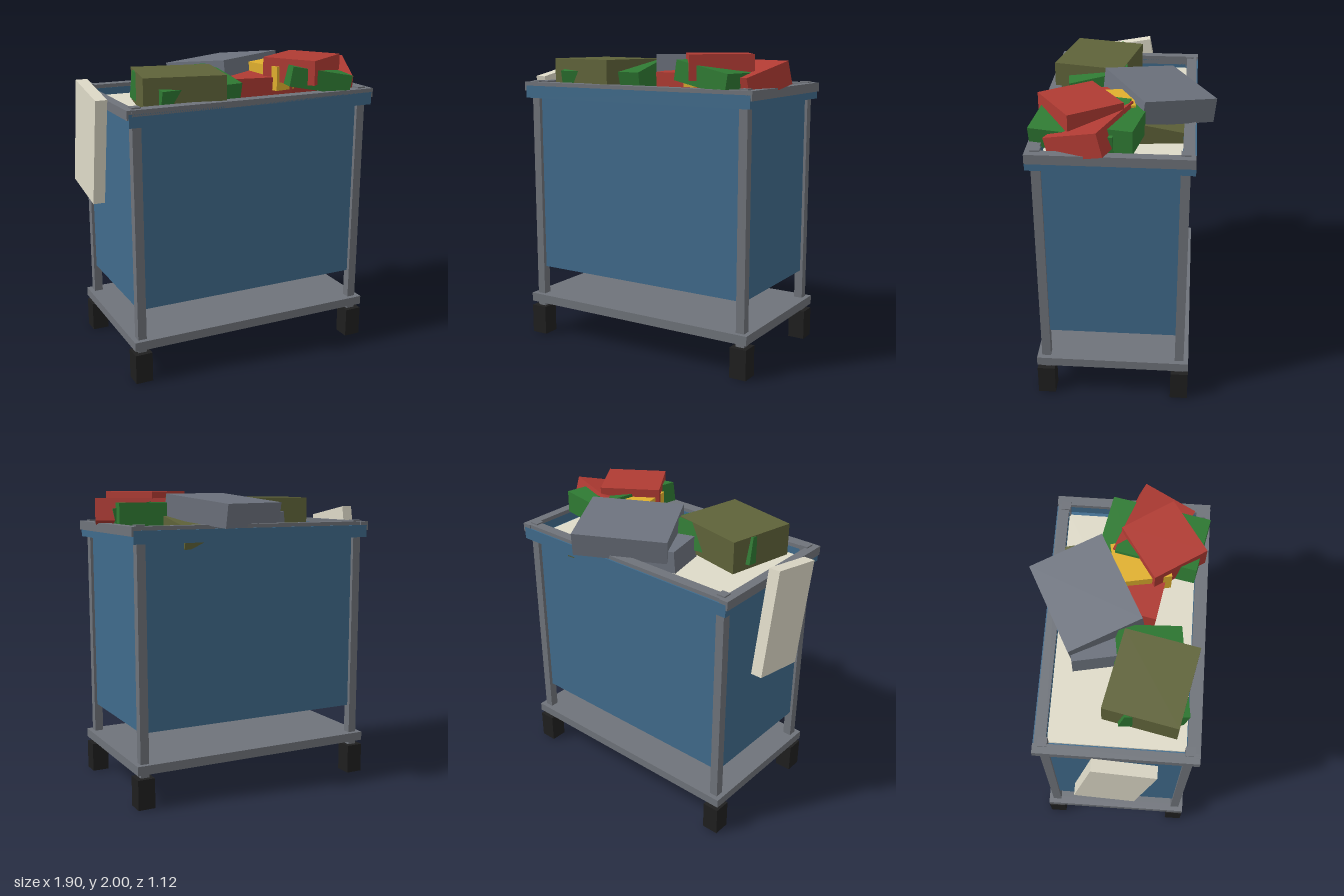
import * as THREE from 'three';

const mat = (name, color) => {
  const m = new THREE.MeshStandardMaterial({ color });
  m.name = name;
  return m;
};

export function createModel() {
  const steel = mat('frame steel', 0x6f737a);
  const blue = mat('bin blue', 0x406b8c);
  const black = mat('wheel black', 0x1f1f1f);
  const cream = mat('cream', 0xdedac8);
  const olive = mat('olive', 0x5f6339);
  const green = mat('green', 0x2f7a33);
  const red = mat('red', 0xb03b33);
  const yellow = mat('yellow', 0xe0b02e);
  const grey = mat('parcel grey', 0x6c727d);

  const model = new THREE.Group();
  const CX = 0.03, CZ = 0.06; // centre of the cart

  // Box by size and centre, turned about y, then x, then z
  const box = (parent, name, m, size, pos, rot = [0, 0, 0]) => {
    const mesh = new THREE.Mesh(new THREE.BoxGeometry(...size), m);
    mesh.name = name;
    mesh.position.set(...pos);
    mesh.rotation.set(rot[0], rot[1], rot[2], 'YXZ');
    parent.add(mesh);
    return mesh;
  };

  // Cart, built around its own centre
  const cart = new THREE.Group();
  cart.name = 'cart';
  cart.position.set(CX, 0, CZ);
  model.add(cart);

  box(cart, 'deck', steel, [1.62, 0.025, 0.9], [0, 0.2775, 0]);
  box(cart, 'bin', blue, [1.62, 1.22, 0.888], [0, 1.097, 0]);
  box(cart, 'contents', cream, [1.56, 0.02, 0.84], [0, 1.712, 0]);

  for (const s of [-1, 1]) {
    for (const sz of [-1, 1]) {
      box(cart, 'post', steel, [0.058, 1.604, 0.058], [s * 0.8, 1.002, sz * 0.44]);
      box(cart, 'wheel', black, [0.115, 0.2, 0.115], [s * 0.803, 0.1, sz * 0.443]);
    }
    // rails around the deck
    box(cart, 'deckSideRail', steel, [0.058, 0.06, 1.0], [s * 0.832, 0.26, 0]);
    box(cart, 'deckLongRail', steel, [1.606, 0.06, 0.058], [0, 0.26, s * 0.471]);
    // rim on the short sides
    box(cart, 'sideBand', blue, [0.05, 0.08, 0.998], [s * 0.835, 1.728, 0]);
    box(cart, 'sideRail', steel, [0.062, 0.06, 0.998], [s * 0.841, 1.765, 0]);
    // rim on the long sides
    box(cart, 'longBand', blue, [1.72, 0.083, 0.08], [0, 1.7285, s * 0.46]);
  }
  box(cart, 'frontRail', steel, [1.68, 0.04, 0.079], [0, 1.775, 0.4605]);
  box(cart, 'backRail', steel, [1.68, 0.04, 0.07], [0, 1.775, -0.456]);

  // Tilted board hanging beside the bin
  box(model, 'sideBoard', cream, [0.077, 0.7, 0.396], [-0.9125, 1.51, 0.055], [0.177, 0, 0]);

  // Heap of parcels: name, material, size, centre, rotation
  const heap = new THREE.Group();
  heap.name = 'parcels';
  model.add(heap);
  const parcels = [
    ['largeOliveParcel', olive, [0.524, 0.215, 0.472], [-0.379, 1.846, 0.241], [0, -0.204, 0]],
    ['leftGreenParcel', green, [0.585, 0.18, 0.4], [-0.32, 1.825, 0.235], [0.2, 0.13, 0]],
    ['largeGreyParcel', grey, [0.624, 0.155, 0.495], [0.15, 1.88, -0.188], [-0.12, 0.482, 0]],
    ['lowGreyParcel', grey, [0.42, 0.15, 0.29], [-0.05, 1.775, -0.145], [0, 0.2, -0.08]],
    ['backOliveParcel', olive, [0.3, 0.14, 0.42], [0.4, 1.755, -0.185], [-0.22, 0.1, 0]],
    ['backGreenParcel', green, [0.42, 0.15, 0.22], [0.612, 1.855, 0.0], [0, -0.19, 0]],
    ['frontGreenParcel', green, [0.42, 0.13, 0.52], [0.575, 1.863, 0.26], [0, -0.2, -0.18]],
    ['topRedParcel', red, [0.403, 0.16, 0.375], [0.52, 1.92, 0.268], [0, 0.589, 0]],
    ['rightRedParcel', red, [0.51, 0.15, 0.36], [0.639, 1.838, 0.187], [0.27, -0.357, 0]],
    ['lowRedParcel', red, [0.4, 0.15, 0.32], [0.256, 1.806, 0.12], [0.06, -0.17, 0]],
    ['yellowParcel', yellow, [0.27, 0.16, 0.35], [0.392, 1.865, 0.132], [0, 0.2, 0]],
  ];
  for (const p of parcels) box(heap, ...p);

  return model;
}
